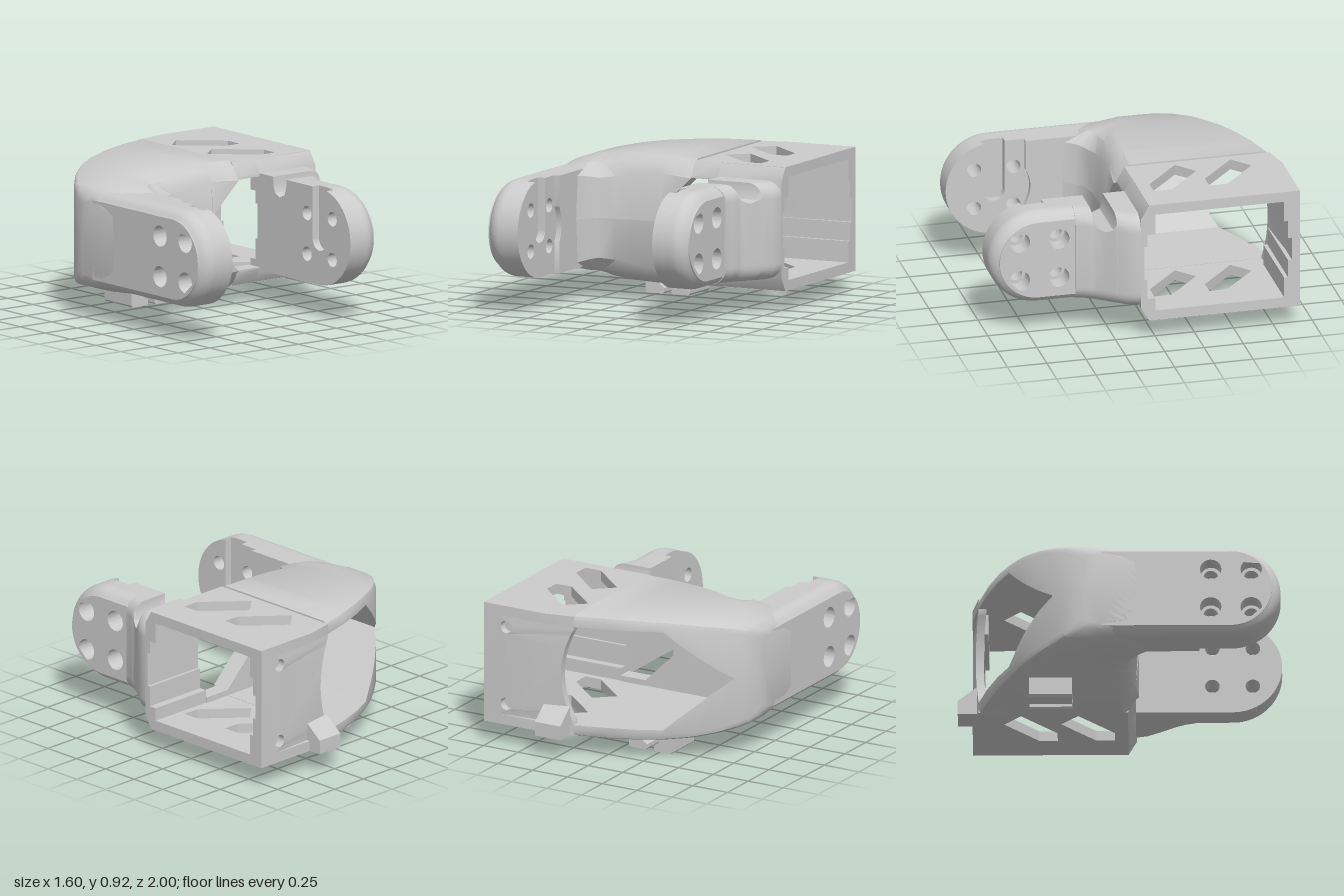
import * as THREE from 'three';
import { toCreasedNormals } from 'three/addons/utils/BufferGeometryUtils.js';

const MID = 0.515;   // height of the symmetry plane
const R = 0.305;     // half height of the arms
const END = 0.695;   // z of the arm's round end centre
const mat = new THREE.MeshStandardMaterial({ color: 0xcccccc });

function add(parent, name, geo, crease = 0.6) {
  const mesh = new THREE.Mesh(toCreasedNormals(geo, crease), mat);
  mesh.name = name;
  parent.add(mesh);
  return mesh;
}

const toShape = pts => new THREE.Shape(pts.map(p => new THREE.Vector2(p[0], p[1])));

function circleHole(x, y, r) {
  const p = new THREE.Path();
  p.absarc(x, y, r, 0, Math.PI * 2, true);
  return p;
}

// Extrude a shape drawn in (-z, y) along x
function extrudeX(shape, x0, x1, steps = 1) {
  return new THREE.ExtrudeGeometry(shape, { depth: x1 - x0, steps, bevelEnabled: false, curveSegments: 28 });
}
const placeX = (geo, x0, y = MID) => geo.rotateY(Math.PI / 2).translate(x0, y, 0);
const profileX = (pts, x0, x1, y = MID) =>
  placeX(extrudeX(toShape(pts.map(([z, v]) => [-z, v])), x0, x1), x0, y);

// Skin through a row of equal-length loops, capped at both ends
function loft(loops, place) {
  const n = loops[0].length, pos = [], idx = [];
  loops.forEach((l, i) => l.forEach(([u, v]) => pos.push(...place(u, v, i))));
  for (let i = 0; i < loops.length - 1; i++)
    for (let j = 0; j < n; j++) {
      const a = i * n + j, b = i * n + (j + 1) % n;
      idx.push(a, b, b + n, a, b + n, a + n);
    }
  [0, loops.length - 1].forEach((i, end) => {
    const c = loops[i].map(p => new THREE.Vector2(p[0], p[1]));
    const ccw = THREE.ShapeUtils.area(c) > 0;
    if (!ccw) c.reverse();
    const id = k => i * n + (ccw ? k : n - 1 - k);
    for (const [p, q, r] of THREE.ShapeUtils.triangulateShape(c, []))
      (end === 1) === ccw ? idx.push(id(p), id(q), id(r)) : idx.push(id(r), id(q), id(p));
  });
  // Turn the skin outward if its enclosed volume is negative
  const P = k => new THREE.Vector3(pos[3 * k], pos[3 * k + 1], pos[3 * k + 2]);
  let vol = 0;
  for (let k = 0; k < idx.length; k += 3) vol += P(idx[k]).dot(P(idx[k + 1]).cross(P(idx[k + 2])));
  if (vol < 0) idx.reverse();
  const g = new THREE.BufferGeometry();
  g.setAttribute('position', new THREE.Float32BufferAttribute(pos, 3));
  g.setIndex(idx);
  return g;
}

// Arm outline with a round end and four bolt holes; optional slot from the top
function armShape(z0, holeR, slot) {
  const s = new THREE.Shape();
  s.moveTo(-z0, -R);
  s.lineTo(-z0, R);
  if (slot) {
    s.lineTo(-0.625, R);
    s.lineTo(-0.625, -0.02);
    s.absarc(-0.695, -0.02, 0.07, 0, Math.PI, true);
    s.lineTo(-0.765, Math.sqrt(R * R - 0.07 * 0.07));
    s.absarc(-END, 0, R, Math.PI / 2 + 0.232, Math.PI * 1.5, false);
  } else {
    s.lineTo(-END, R);
    s.absarc(-END, 0, R, Math.PI / 2, Math.PI * 1.5, false);
  }
  for (const z of [0.57, 0.82]) for (const y of [-0.128, 0.128]) s.holes.push(circleHole(-z, y, holeR));
  return s;
}

// Outer arm layer: the rim is drawn in along a quarter round towards face x = outer
function roundedLayer(z0, x0, x1, outer) {
  const g = extrudeX(armShape(z0, 0.066), x0, x1, 14), p = g.attributes.position, r = 0.1;
  for (let i = 0; i < p.count; i++) {
    const t = Math.min(Math.max(r - Math.abs(p.getZ(i) + x0 - outer), 0), 0.089);
    const cx = Math.max(p.getX(i), -END), dx = p.getX(i) - cx, dy = p.getY(i);
    if (Math.hypot(dx, dy) < R - 0.01) continue;
    const k = (R - r + Math.sqrt(r * r - t * t)) / R;
    p.setXY(i, cx + dx * k, dy * k);
  }
  return placeX(g, x0);
}

function buildArm(name, z0, inner, side) {
  const arm = new THREE.Group();
  arm.name = name;
  const span = (a, b) => [inner + side * a, inner + side * b].sort((p, q) => p - q);
  const [a0, a1] = span(0, 0.05), [b0, b1] = span(0.05, 0.11), [c0, c1] = span(0.11, 0.23);
  add(arm, 'hornSlotLayer', placeX(extrudeX(armShape(z0, 0.045, true), a0, a1), a0));
  add(arm, 'armCore', placeX(extrudeX(armShape(z0, 0.045), b0, b1), b0));
  add(arm, 'roundedArmCover', roundedLayer(z0, c0, c1, inner + side * 0.23));
  return arm;
}

export function createModel() {
  const model = new THREE.Group();
  model.name = 'jointBracket';

  // Curved shell: x, back z, end of flat top z, front z, half height, half height at front
  const stations = [
    [-0.8, -0.2, -0.1, 0.1, 0.24, 0.18], [-0.785, -0.27, -0.12, 0.12, 0.275, 0.2],
    [-0.75, -0.345, -0.14, 0.15, 0.31, 0.24], [-0.7, -0.405, -0.14, 0.2, 0.33, 0.26],
    [-0.62, -0.495, -0.12, 0.24, 0.352, 0.27], [-0.535, -0.565, -0.1, 0.25, 0.368, 0.27],
    [-0.5, -0.59, -0.08, 0.18, 0.374, 0.26], [-0.45, -0.622, -0.05, 0.135, 0.38, 0.25],
    [-0.345, -0.68, -0.02, 0.105, 0.39, 0.26], [-0.2, -0.75, 0, 0.1, 0.396, 0.28],
    [-0.021, -0.815, 0.01, 0.1, 0.4, 0.3], [-0.02, -0.815, 0.01, 0.1, 0.4, 0.3],
    [0.18, -0.872, 0.02, 0.1, 0.397, 0.3], [0.36, -0.905, 0.04, 0.1, 0.388, 0.3]];
  const shellLoop = ([x, zb, zt, zf, Y, yf]) => {
    const h = Math.min(0.32, Math.max(0, (x + 0.7) * 0.9));           // wedge cavity
    const w = x < -0.0205 ? 0 : Math.min(0.285, 0.09 + (x + 0.02) * 0.975); // front window
    return [[zb, h], [zb, Y - 0.04], [zb + 0.012, Y - 0.012], [zb + 0.04, Y], [zt, Y],
      [zt + (zf - zt) * 0.6, Y - (Y - yf) * 0.35], [zf, yf], [zf + 0.02, w], [0, w], [0, h]];
  };
  const shellRows = stations.slice(0, -1);
  for (const s of [1, -1]) {
    const half = s > 0 ? 'upper' : 'lower';
    add(model, half + 'Shell', loft(shellRows.map(shellLoop), (z, y, i) => [shellRows[i][0], MID + s * y, z]));

    // Plate of the box with two slanted openings
    const plate = toShape([[0.18, 0.872], [0.18, -0.05], [0.8, -0.05], [0.8, 0.91], [0.36, 0.91]]);
    for (const dz of [0, 0.353]) {
      const hole = [[0.23, 0.61], [0.35, 0.715], [0.59, 0.5], [0.59, 0.386], [0.48, 0.386]];
      plate.holes.push(new THREE.Path(hole.map(([x, z]) => new THREE.Vector2(x, z - dz))));
    }
    const g = new THREE.ExtrudeGeometry(plate, { depth: 0.065, bevelEnabled: false });
    g.rotateX(-Math.PI / 2).translate(0, s > 0 ? MID + 0.322 : MID - 0.387, 0);
    add(model, half + 'Plate', g);

    // Rim above or below the front window
    add(model, half + 'WindowRim', profileX(
      [[0, 0.285], [0.1, 0.285], [0.1, 0.3], [0.05, 0.387], [0, 0.387]].map(([z, y]) => [z, s * y]), 0.18, 0.36));

    // Stepped guide rails inside the back wall
    for (const [y0, y1, t] of [[0.19, 0.325, 0.05], [0.075, 0.19, 0.025]])
      add(model, 'guideRail', new THREE.BoxGeometry(0.53, y1 - y0, t)
        .translate(0.535, MID + s * (y0 + y1) / 2, -0.86 + t / 2));
  }

  // Back wall with a curved edge and two screw holes
  const back = new THREE.Shape();
  back.moveTo(0.8, MID - 0.385);
  back.lineTo(0.8, MID + 0.385);
  back.lineTo(0.18, MID + 0.385);
  back.lineTo(0.18, MID + 0.3);
  back.quadraticCurveTo(0.34, MID, 0.18, MID - 0.3);
  back.lineTo(0.18, MID - 0.385);
  for (const y of [-0.25, 0.25]) back.holes.push(circleHole(0.64, MID + y, 0.04));
  const backGeo = new THREE.ExtrudeGeometry(back, { depth: 0.05, bevelEnabled: false, curveSegments: 24 });
  const bp = backGeo.attributes.position;
  for (let i = 0; i < bp.count; i++)   // follow the shell's curve left of the box
    bp.setZ(i, bp.getZ(i) - 0.91 + Math.max(0, 0.36 - bp.getX(i)) * 0.21);
  add(model, 'backWall', backGeo);

  // Front wall of the box with its stepped groove
  add(model, 'frontWall', profileX([[0.05, 0.385], [0.1, 0.3], [0.1, -0.3], [0.05, -0.385], [0.01, -0.385],
    [0.01, -0.24], [0.06, -0.24], [0.06, -0.11], [0.09, -0.11], [0.09, 0.11], [0.06, 0.11],
    [0.06, 0.19], [0.01, 0.19], [0.01, 0.385]], 0.36, 0.8));

  // Arms
  const leftArm = buildArm('leftArm', 0.46, 0.36, 1);
  const rightArm = buildArm('rightArm', -0.1, -0.57, -1);
  model.add(leftArm, rightArm);

  // Raised pad on the right arm, hollowed around the joint
  const pad = new THREE.Shape();
  pad.moveTo(0.08, -R);
  pad.lineTo(0.08, R);
  pad.lineTo(-0.5, R);
  pad.lineTo(-0.5, 0.111);
  pad.absarc(-0.69, 0, 0.22, 0.528, -0.528, true);
  pad.lineTo(-0.5, -R);
  add(rightArm, 'innerPad', placeX(extrudeX(pad, -0.57, -0.535), -0.57));

  // Flared root of the left arm with a cable groove across its top: z, outer x, top
  const flare = [[0.08, 0.8, R], [0.12, 0.797, R], [0.17, 0.782, R], [0.235, 0.735, R], [0.236, 0.735, 0.25],
    [0.255, 0.72, 0.205], [0.3, 0.685, 0.185], [0.345, 0.652, 0.205], [0.364, 0.64, 0.25], [0.365, 0.64, R],
    [0.41, 0.615, R], [0.465, 0.598, R]];
  const flareLoop = ([, xo, top]) => {
    const pts = [[0.36, top], [0.36, -R]], r = 0.1;
    for (let k = 0; k <= 8; k++) {
      const a = -Math.PI / 2 + k * Math.PI / 16;
      pts.push([xo - r + r * Math.cos(a), -R + r + r * Math.sin(a)]);
    }
    for (let k = 0; k <= 8; k++) {
      const a = k * Math.PI / 16;
      pts.push([xo - r + r * Math.cos(a), Math.min(top, R - r + r * Math.sin(a))]);
    }
    return pts;
  };
  add(leftArm, 'flaredRoot', loft(flare.map(flareLoop), (x, y, i) => [x, MID + y, flare[i][0]]));

  // Lug at the lower back edge
  add(model, 'backLug', profileX([[-0.88, 0.13], [-1, 0.13], [-1, 0.22], [-0.88, 0.315]], 0.2, 0.38, 0));

  // Pair of cable hooks under the shell
  for (const s of [1, -1]) {
    const hook = toShape([[0.155, 0.14], [0.155, 0.012], [0.143, 0], [0.035, 0], [0.025, 0.01], [0.025, 0.035],
      [0.055, 0.055], [0.066, 0.08], [0.055, 0.105], [0.03, 0.14]].map(([x, y]) => [-0.185 + s * x, y]));
    add(model, 'cableHook', new THREE.ExtrudeGeometry(hook, { depth: 0.265, bevelEnabled: false })
      .translate(0, 0, -0.555));
  }
  return model;
}
